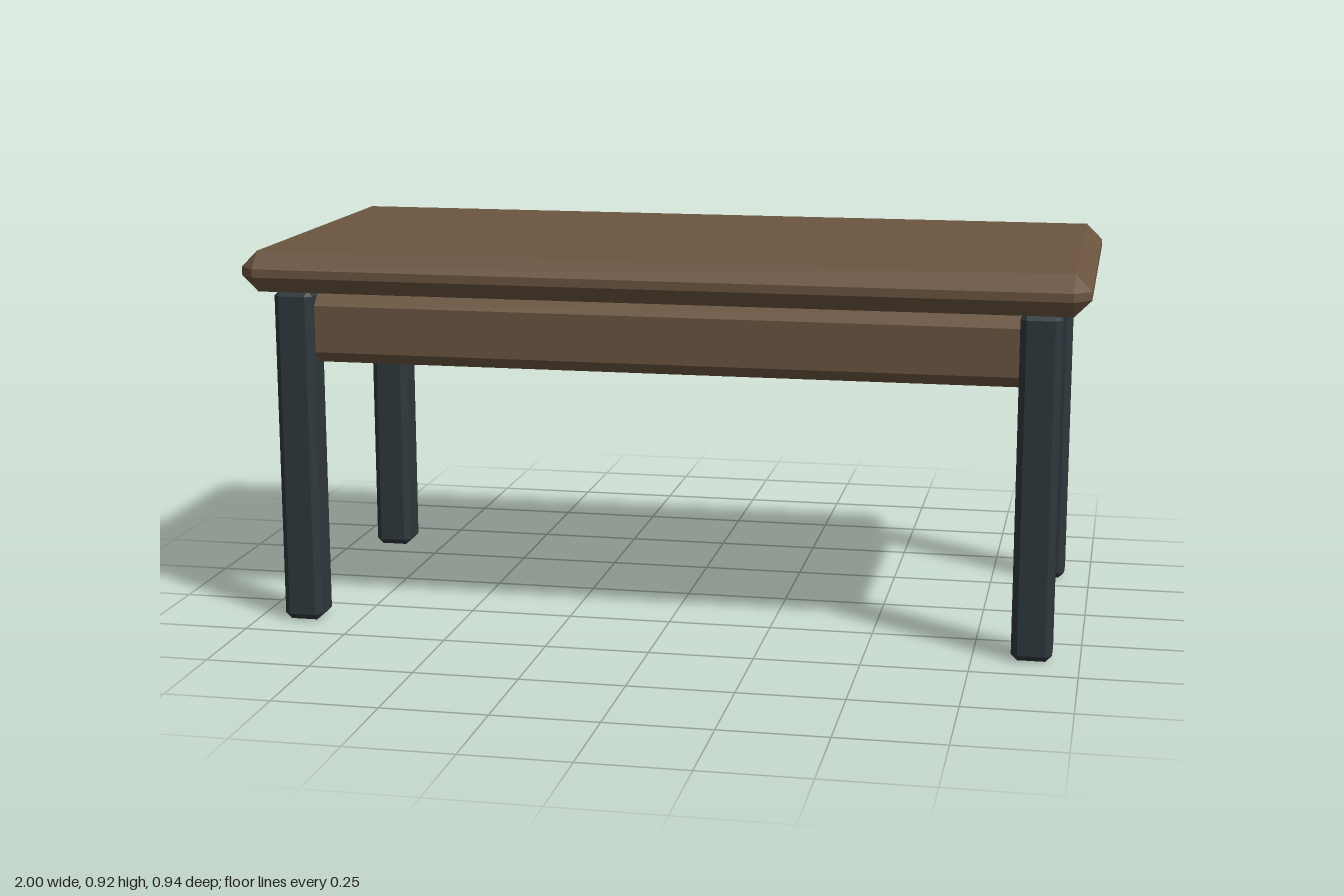
import * as THREE from 'three';
import { ConvexGeometry } from 'three/addons/geometries/ConvexGeometry.js';

// Box with every edge cut by a flat chamfer of size c
function chamferBox(w, h, d, c) {
  const points = [];
  for (const sx of [-1, 1]) for (const sy of [-1, 1]) for (const sz of [-1, 1]) {
    const x = w / 2, y = h / 2, z = d / 2;
    points.push(
      new THREE.Vector3(sx * x, sy * (y - c), sz * (z - c)),
      new THREE.Vector3(sx * (x - c), sy * y, sz * (z - c)),
      new THREE.Vector3(sx * (x - c), sy * (y - c), sz * z)
    );
  }
  return new ConvexGeometry(points);
}

export function createModel() {
  const table = new THREE.Group();
  table.name = 'table';
  const wood = new THREE.MeshStandardMaterial({ color: 0x6b5540, flatShading: true });
  const dark = new THREE.MeshStandardMaterial({ color: 0x2f383d, flatShading: true });

  const add = (name, geometry, material, x, y, z) => {
    const mesh = new THREE.Mesh(geometry, material);
    mesh.name = name;
    mesh.position.set(x, y, z);
    table.add(mesh);
  };

  // Wide top with deep chamfers
  add('tableTop', chamferBox(2, 0.098, 0.944, 0.039), wood, 0, 0.869, 0);

  // Solid apron block, its corners set into the legs
  add('apron', chamferBox(1.82, 0.167, 0.77, 0.027), wood, 0, 0.7245, 0);

  // Four square legs
  const legGeometry = chamferBox(0.095, 0.82, 0.097, 0.015);
  for (const [sx, side] of [[1, 'Left'], [-1, 'Right']])
    for (const [sz, end] of [[1, 'front'], [-1, 'back']])
      add(`${end}${side}Leg`, legGeometry, dark, sx * 0.888, 0.41, sz * 0.361);

  return table;
}
